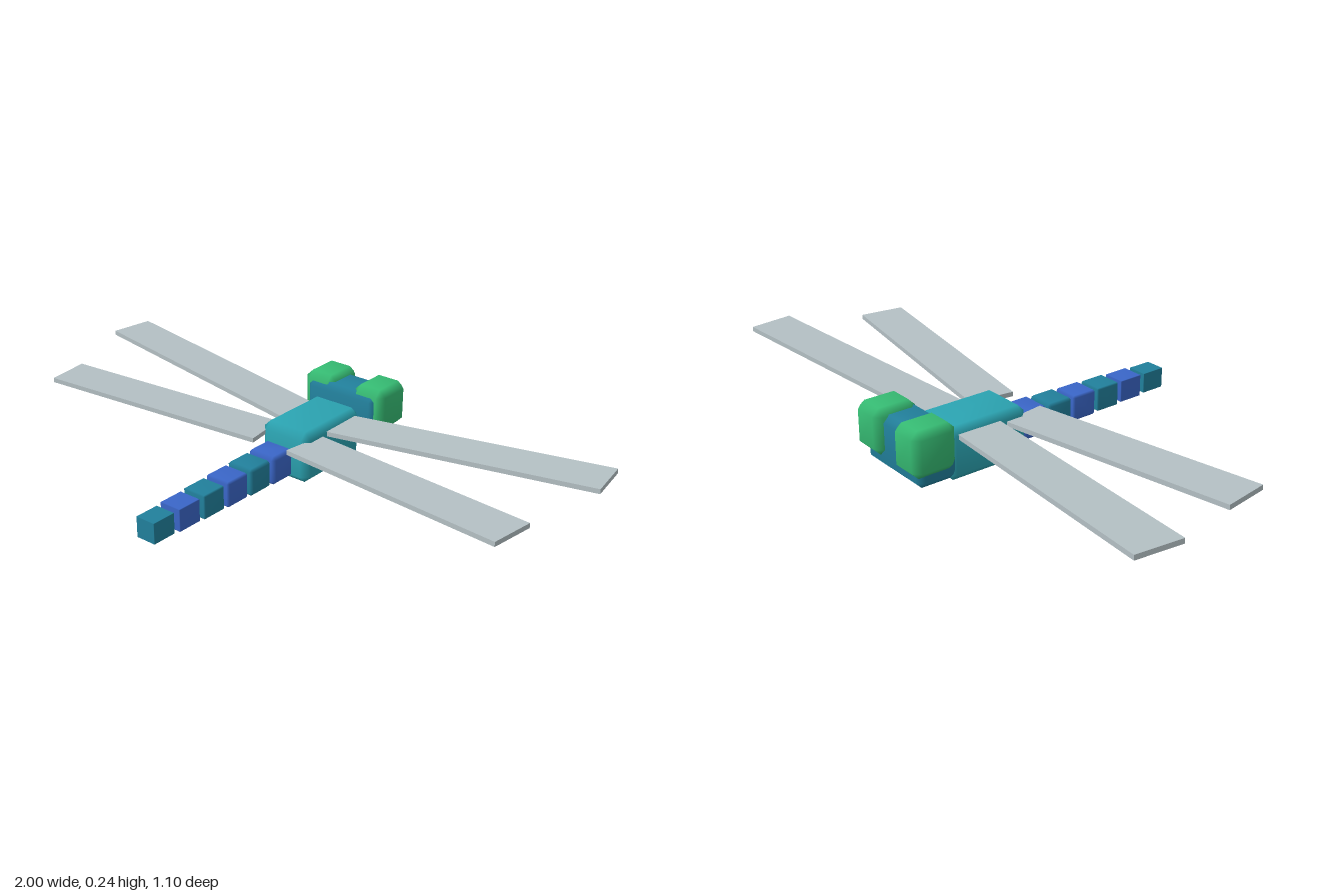
import * as THREE from 'three';
import { mergeVertices } from 'three/addons/utils/BufferGeometryUtils.js';
import { ConvexGeometry } from 'three/addons/geometries/ConvexGeometry.js';

const material = (name, color) => {
  const m = new THREE.MeshStandardMaterial({ color });
  m.name = name;
  return m;
};

// Box with 45 degree bevels and soft shared normals
function bevelBox(w, h, d, bevel) {
  const half = [w / 2, h / 2, d / 2];
  const points = [];
  for (const sx of [-1, 1]) for (const sy of [-1, 1]) for (const sz of [-1, 1]) {
    for (let face = 0; face < 3; face++) {
      const p = half.map((v, axis) => (axis === face ? v : v - bevel));
      points.push(new THREE.Vector3(sx * p[0], sy * p[1], sz * p[2]));
    }
  }
  const geometry = new ConvexGeometry(points);
  geometry.deleteAttribute('normal');
  const merged = mergeVertices(geometry, 1e-4);
  merged.computeVertexNormals();
  return merged;
}

export function createModel() {
  const model = new THREE.Group();
  model.name = 'dragonfly';

  const turquoise = material('turquoise', 0x2ba4b2);
  const teal = material('teal', 0x21809c);
  const blue = material('blue', 0x3a66c8);
  const green = material('green', 0x36bd74);
  const wingGrey = material('wing grey', 0xb4c0c4);

  const add = (name, geometry, mat, x, y, z) => {
    const mesh = new THREE.Mesh(geometry, mat);
    mesh.name = name;
    mesh.position.set(x, y, z);
    model.add(mesh);
    return mesh;
  };

  // Thorax and head
  add('thorax', bevelBox(0.194, 0.18, 0.3, 0.025), turquoise, 0, 0.091, -0.233);
  add('head', bevelBox(0.285, 0.178, 0.142, 0.021), teal, 0, 0.133, -0.455);

  // Tail segments shrink towards the tip and alternate in colour
  const tail = new THREE.Group();
  tail.name = 'tail';
  model.add(tail);
  for (let i = 0; i < 6; i++) {
    const width = 0.11 - i * 0.0078;
    const height = 0.1 - i * 0.006;
    const bevel = Math.max(0.012 - i * 0.0025, 0.001);
    const mesh = new THREE.Mesh(
      bevelBox(width, height, 0.1 - i * 0.0028, bevel), i % 2 ? teal : blue);
    mesh.name = `tailSegment${i + 1}`;
    mesh.position.set(0, 0.083, -0.02 + i * 0.106);
    tail.add(mesh);
  }

  // Eyes and wings, mirrored left and right
  const wings = [
    { name: 'frontWing', length: 0.92, x: 0.535, y: 0.175, z: -0.327, yaw: 0.128, roll: 0.053 },
    { name: 'rearWing', length: 0.834, x: 0.4925, y: 0.155, z: -0.035, yaw: -0.139, roll: 0.03 },
  ];
  for (const [side, s] of [['left', 1], ['right', -1]]) {
    add(`${side}Eye`, bevelBox(0.126, 0.154, 0.154, 0.024), green, s * 0.101, 0.165, -0.474);
    for (const w of wings) {
      const wing = add(`${side} ${w.name}`, new THREE.BoxGeometry(w.length, 0.016, 0.156),
        wingGrey, s * w.x, w.y, w.z);
      wing.rotation.set(0, s * w.yaw, s * w.roll, 'YZX');
    }
  }
  return model;
}
